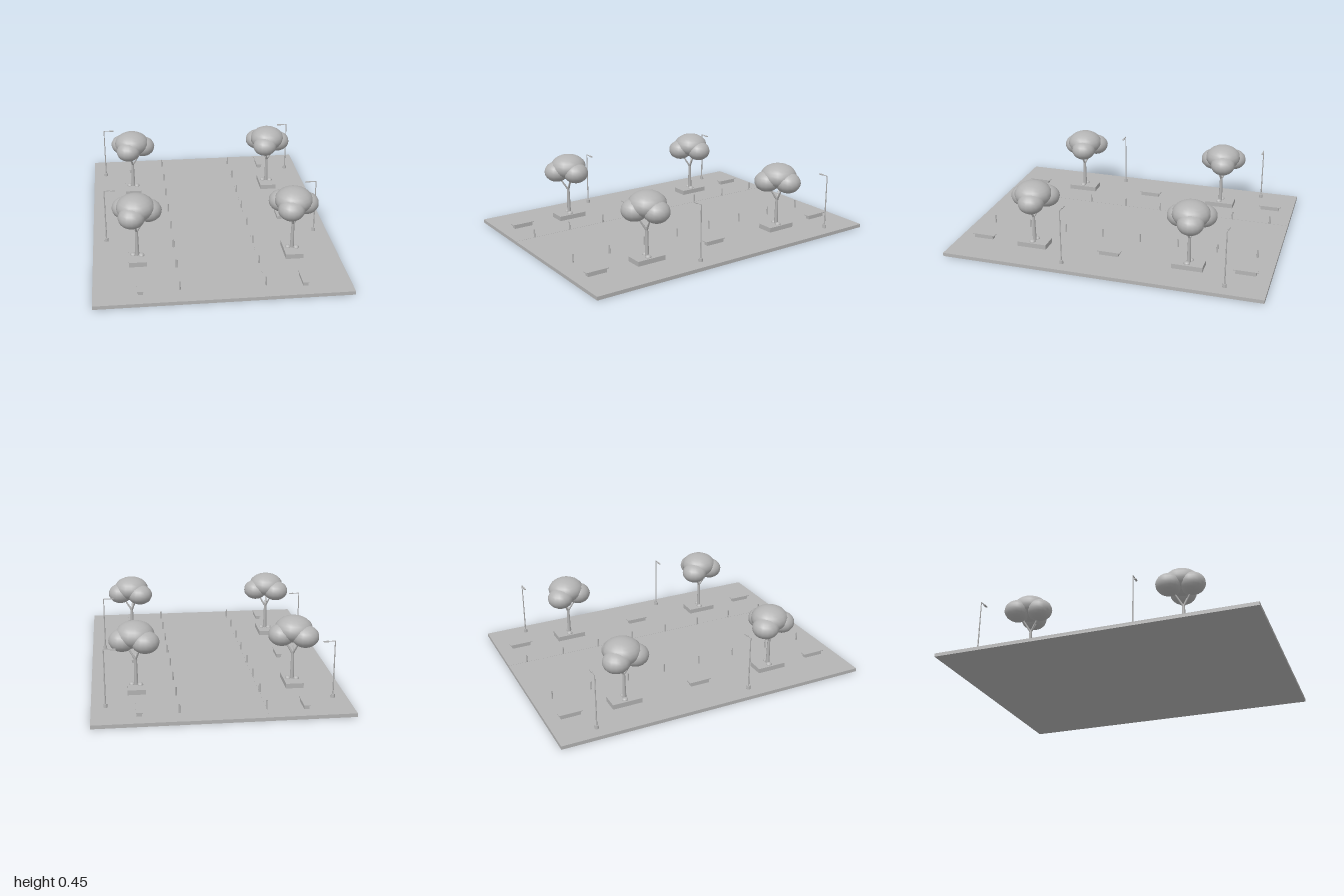
import * as THREE from 'three';

const stone = new THREE.MeshStandardMaterial({ color: 0xb4b4b4 });
stone.name = 'plain grey';

const GROUND = 0.022;

function add(parent, name, geometry, x, y, z) {
  const mesh = new THREE.Mesh(geometry, stone);
  mesh.name = name;
  mesh.position.set(x, y, z);
  parent.add(mesh);
  return mesh;
}

function group(parent, name, x, y, z) {
  const g = new THREE.Group();
  g.name = name;
  g.position.set(x, y, z);
  parent.add(g);
  return g;
}

// Tapered round limb between two points
function limb(parent, name, from, to, r0, r1) {
  const a = new THREE.Vector3(...from), b = new THREE.Vector3(...to);
  const dir = b.clone().sub(a);
  const mesh = add(parent, name, new THREE.CylinderGeometry(r1, r0, dir.length(), 8), 0, 0, 0);
  mesh.position.copy(a).add(b).multiplyScalar(0.5);
  mesh.quaternion.setFromUnitVectors(new THREE.Vector3(0, 1, 0), dir.normalize());
}

const leafBall = new THREE.SphereGeometry(1, 16, 12);
const shrubDome = new THREE.SphereGeometry(1, 12, 5, 0, Math.PI * 2, 0, Math.PI / 2);

function addTree(parent, x, z) {
  const tree = group(parent, 'tree', x, 0, z);
  add(tree, 'planter', new THREE.BoxGeometry(0.108, 0.03, 0.19), 0, GROUND + 0.015, 0);
  for (const s of [-1, 1]) {
    add(tree, 'shrub', shrubDome, s * 0.025, 0.052, s * 0.006).scale.set(0.018, 0.014, 0.02);
  }
  // Trunk and forked branches
  limb(tree, 'trunk', [0, 0.05, 0], [0, 0.222, 0], 0.013, 0.009);
  const tips = [[0.055, 0.01], [-0.015, 0.055], [-0.03, -0.05]];
  for (const [bx, bz] of tips) {
    limb(tree, 'branch', [0, 0.212, 0], [bx, 0.3, bz], 0.007, 0.004);
  }
  // Crown: x, y, z, radius, half height
  const crown = [
    [0, 0.373, -0.006, 0.116, 0.08],
    [0.076, 0.342, -0.02, 0.081, 0.067],
    [-0.027, 0.342, 0.066, 0.081, 0.067],
    [-0.058, 0.342, -0.068, 0.084, 0.067],
  ];
  for (const [cx, cy, cz, r, h] of crown) {
    add(tree, 'foliage', leafBall, cx, cy, cz).scale.set(r, h, r);
  }
}

function addLamp(parent, side, z) {
  const lamp = group(parent, 'streetLamp', side * 0.666, GROUND, z);
  add(lamp, 'lampBase', new THREE.CylinderGeometry(0.011, 0.013, 0.022, 10), 0, 0.011, 0);
  add(lamp, 'lampPole', new THREE.CylinderGeometry(0.003, 0.0045, 0.352, 8), 0, 0.176, 0);
  add(lamp, 'lampArm', new THREE.BoxGeometry(0.05, 0.004, 0.004), -side * 0.025, 0.35, 0);
  add(lamp, 'lampHead', new THREE.BoxGeometry(0.03, 0.006, 0.011), -side * 0.053, 0.349, 0);
}

function addBench(parent, x, z) {
  const bench = group(parent, 'bench', x, GROUND, z);
  add(bench, 'benchBody', new THREE.BoxGeometry(0.03, 0.022, 0.124), 0, 0.011, 0);
  add(bench, 'benchSeat', new THREE.BoxGeometry(0.037, 0.005, 0.148), 0, 0.0245, 0);
}

export function createModel() {
  const model = new THREE.Group();
  model.name = 'streetSection';

  // Roadway with a pavement on each side
  add(model, 'roadway', new THREE.BoxGeometry(0.5, GROUND - 0.0008, 2), 0, (GROUND - 0.0008) / 2, 0);
  for (const s of [-1, 1]) {
    add(model, 'pavement', new THREE.BoxGeometry(0.5, GROUND, 2), s * 0.5, GROUND / 2, 0);
  }

  for (const [x, z] of [[-0.473, -0.5], [0.481, -0.5], [-0.48, 0.5], [0.474, 0.5]]) {
    addTree(model, x, z);
  }

  const post = new THREE.CylinderGeometry(0.0045, 0.0055, 0.054, 8);
  for (const s of [-1, 1]) {
    for (const z of [-0.755, 0.248]) addLamp(model, s, z);
    for (const z of [-0.847, 0.005, 0.845]) addBench(model, s * 0.477, z);
    for (let i = 0; i < 8; i++) {
      add(model, 'bollard', post, s * 0.25, GROUND + 0.027, -0.878 + i * 0.25);
    }
  }
  return model;
}
